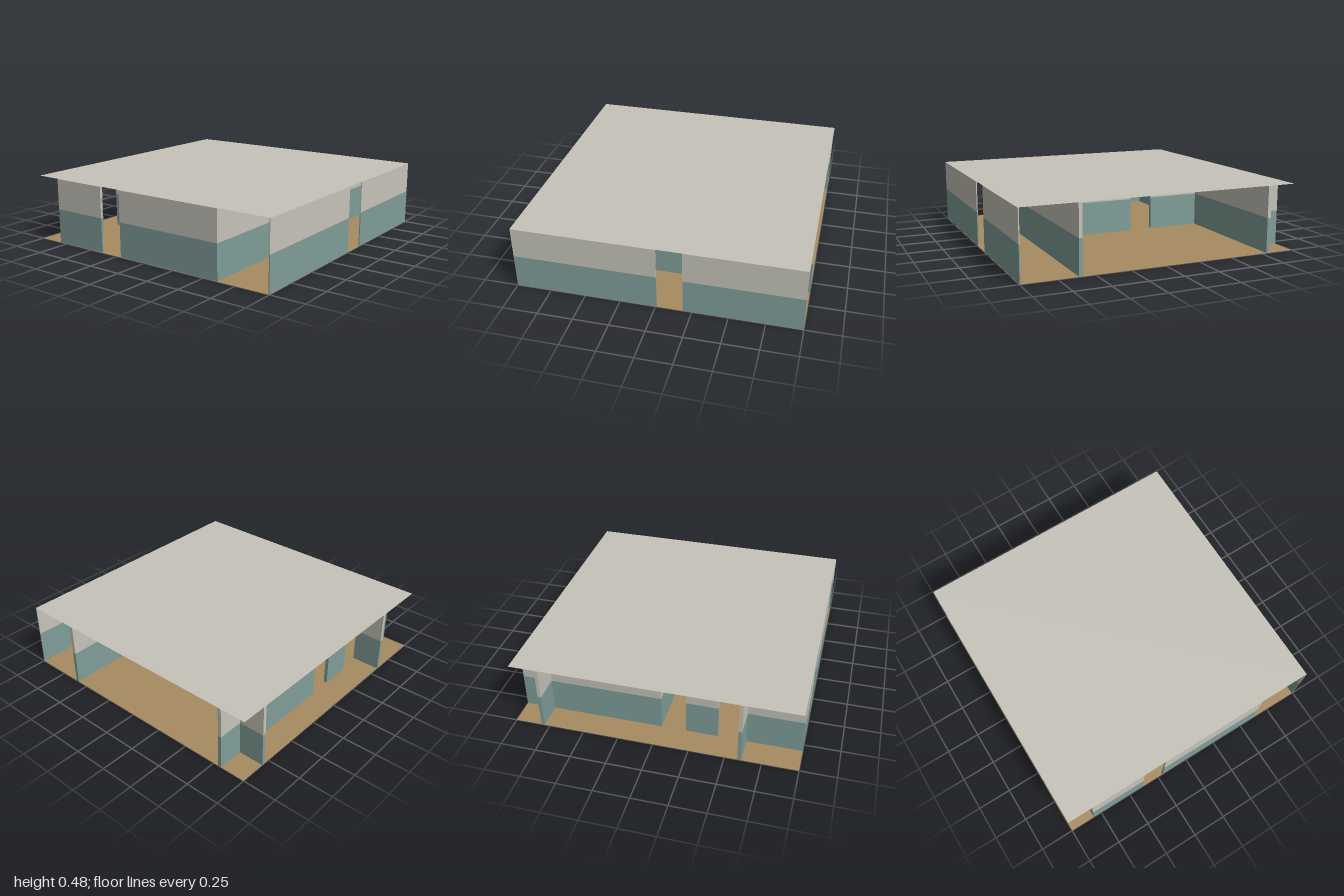
import * as THREE from 'three';

const TOP = 0.476;   // ceiling height
const DADO = 0.25;   // height where the paint changes
const T = 0.0125;    // half thickness of a wall
const LIFT = 0.002;  // keeps walls just clear of floor and roof

export function createModel() {
  const model = new THREE.Group();
  const paint = (name, color, side = THREE.FrontSide) => {
    const m = new THREE.MeshStandardMaterial({ color, side });
    m.name = name;
    return m;
  };
  const teal = paint('tealPaint', 0x809e99);
  const cream = paint('creamPaint', 0xc6c4b9, THREE.DoubleSide);
  const tan = paint('tanFloor', 0xa88c60, THREE.DoubleSide);

  // Flat floor and roof sheets
  const slab = (name, y, material) => {
    const mesh = new THREE.Mesh(new THREE.PlaneGeometry(2, 2).rotateX(-Math.PI / 2), material);
    mesh.position.y = y;
    mesh.name = name;
    model.add(mesh);
  };
  slab('floor', 0, tan);
  slab('roof', TOP, cream);

  // Two-tone wall filling a rectangle of the plan
  const wall = (name, x0, x1, z0, z1) => {
    const group = new THREE.Group();
    group.name = name;
    const band = (part, y0, y1, material) => {
      const mesh = new THREE.Mesh(new THREE.BoxGeometry(x1 - x0, y1 - y0, z1 - z0), material);
      mesh.position.set((x0 + x1) / 2, (y0 + y1) / 2, (z0 + z1) / 2);
      mesh.name = part;
      group.add(mesh);
    };
    band('lowerWall', LIFT, DADO, teal);
    band('upperWall', DADO, TOP - LIFT, cream);
    model.add(group);
  };

  // Front wall with a doorway
  wall('frontWallRight', -1, 0.008, 0.993, 1);
  wall('frontWallLeft', 0.188, 1, 0.993, 1);

  // Wall between the front corridor and the rooms
  wall('corridorWall', -1, 1, 0.6 - T, 0.6 + T);

  // Wall between the rooms and the back corridor, with two doorways
  for (const [x0, x1] of [[-1, -0.6 + T], [-0.4 - T, -0.2 + T], [-T, 1]]) {
    wall('backWall', x0, x1, -0.8 - T, -0.8 + T);
  }

  // Side wall and middle wall, each with a matching doorway
  for (const [name, x0, x1] of [['sideWall', -1, -1 + T], ['middleWall', -T, T]]) {
    wall(name, x0, x1, -0.8 - T, -0.4 + T);
    wall(name, x0, x1, -0.2 - T, 0.6 + T);
  }

  // Short fins closing the ends of the back recess
  for (const x of [-0.6, 0.8]) wall('backFin', x - T, x + T, -1, -0.8 + T);

  return model;
}
